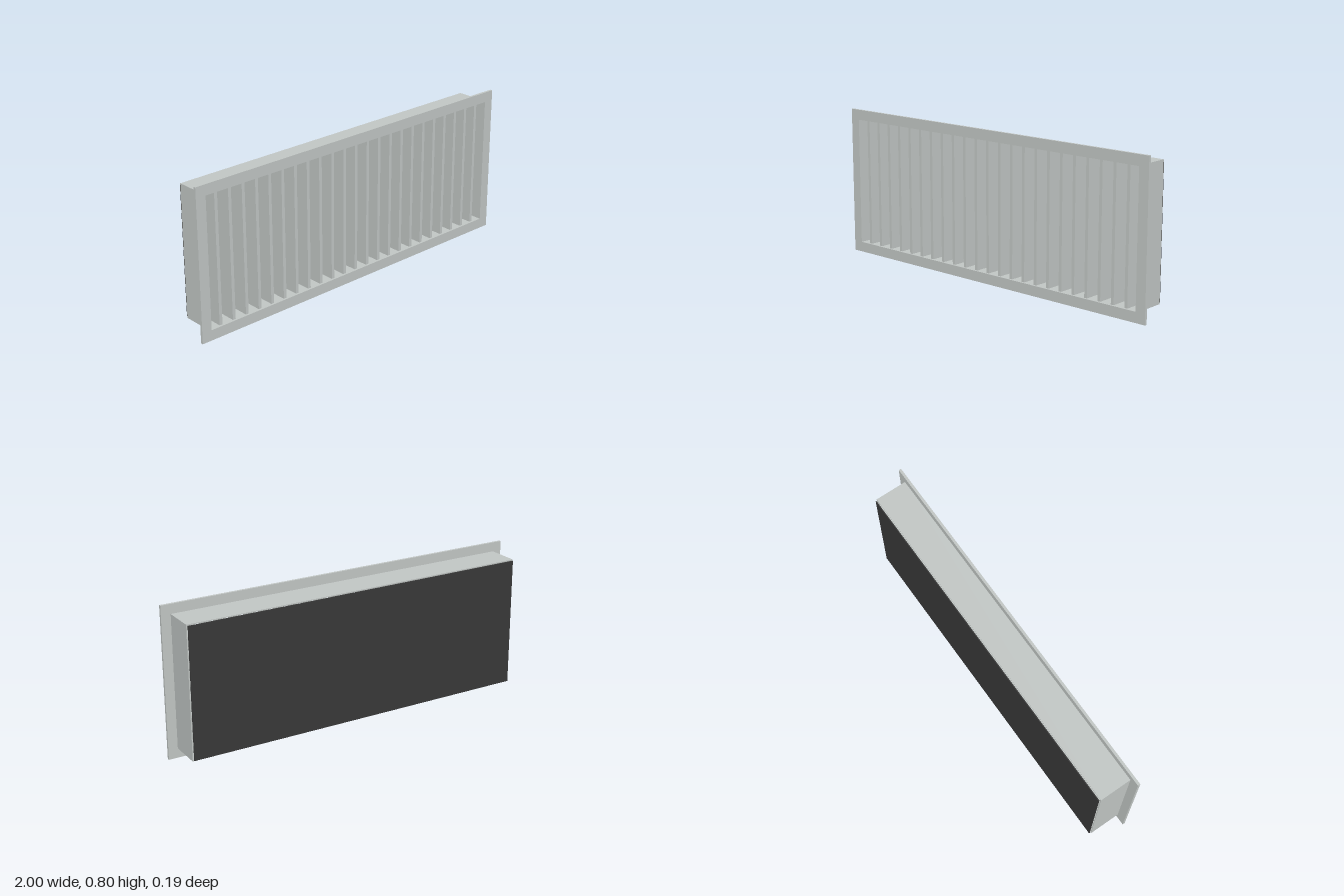
import * as THREE from 'three';

const metal = new THREE.MeshStandardMaterial({ color: 0xc0c5c3 });
metal.name = 'satin grey metal';
const dark = new THREE.MeshStandardMaterial({ color: 0x383838 });
dark.name = 'dark backing';

const MID_Y = 0.4;

// Rectangular ring extruded from z0 to z1, centred on x = 0 and y = MID_Y
function ring(name, w, h, innerW, innerH, z0, z1) {
  const rect = (Type, a, b) => new Type([
    new THREE.Vector2(-a / 2, -b / 2), new THREE.Vector2(a / 2, -b / 2),
    new THREE.Vector2(a / 2, b / 2), new THREE.Vector2(-a / 2, b / 2),
  ]);
  const shape = rect(THREE.Shape, w, h);
  shape.holes.push(rect(THREE.Path, innerW, innerH));
  const geometry = new THREE.ExtrudeGeometry(shape, { depth: z1 - z0, bevelEnabled: false });
  const mesh = new THREE.Mesh(geometry, metal);
  mesh.name = name;
  mesh.position.set(0, MID_Y, z0);
  return mesh;
}

// Box spanning z0 to z1
function bar(name, w, h, z0, z1, x, y, material) {
  const mesh = new THREE.Mesh(new THREE.BoxGeometry(w, h, z1 - z0), material);
  mesh.name = name;
  mesh.position.set(x, y, (z0 + z1) / 2);
  return mesh;
}

export function createModel() {
  const model = new THREE.Group();
  model.name = 'ventilationGrille';
  const openW = 1.89, openH = 0.69;

  // Front flange and the thin-walled duct collar behind it
  model.add(ring('frontFrame', 2, 0.8, openW, openH, 0.084, 0.0975));
  model.add(ring('ductCollar', 1.9, 0.7, openW, openH, -0.087, 0.084));

  // Front row of deep vertical blades
  const vertical = new THREE.Group();
  vertical.name = 'verticalBlades';
  for (let i = -11; i <= 11; i++) {
    vertical.add(bar('verticalBlade', 0.017, openH, -0.008, 0.086, i * 0.08, MID_Y, metal));
  }
  model.add(vertical);

  // Rear row of horizontal blades
  const horizontal = new THREE.Group();
  horizontal.name = 'horizontalBlades';
  for (let i = 0; i < 8; i++) {
    horizontal.add(bar('horizontalBlade', openW, 0.013, -0.08, -0.012, 0, 0.12 + i * 0.08, metal));
  }
  model.add(horizontal);

  // Dark panel set just behind the collar
  model.add(bar('backPanel', openW, openH, -0.0968, -0.0918, 0, MID_Y, dark));

  return model;
}
